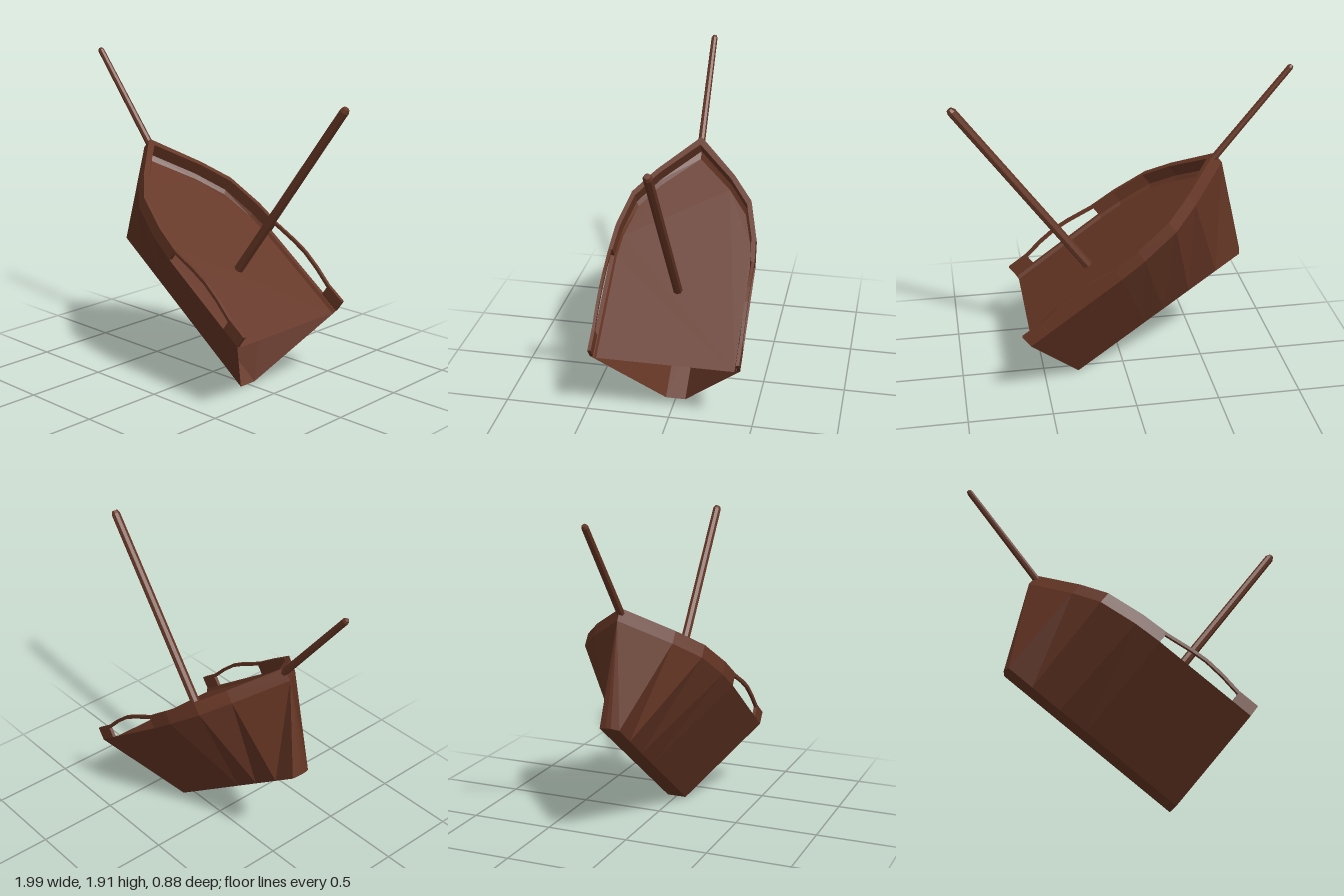
import * as THREE from 'three';

const KEEL = 0, EDGE = 0.544, DECK = 0.525, RAIL = 0.622;

// [distance along ship, half width] from the broken end to the bow
const outer = [[0, 0.44], [-0.66, 0.44], [-0.83, 0.426], [-1.066, 0.368], [-1.235, 0.243], [-1.493, 0]];
const inner = [[0, 0.415], [-0.66, 0.415], [-0.82, 0.4], [-1.04, 0.345], [-1.21, 0.222], [-1.435, 0]];
const deckLine = [[0, 0.405], [-0.66, 0.405], [-0.81, 0.39], [-1.02, 0.333], [-1.185, 0.212], [-1.39, 0]];
const keelLine = [[0, 0.06], [-0.52, 0.06], [-0.66, 0.06], [-0.855, 0.06], [-1.06, 0.06], [-1.235, 0.06], [-1.252, 0.015]];
const hullTop = [outer[0], outer[1], outer[2], outer[3], outer[4], outer[5], outer[5]];
const hullLow = [keelLine[0], keelLine[1], keelLine[2], keelLine[3], keelLine[4], keelLine[5], keelLine[6]];

// one side of the ship followed by the mirrored other side
function bothSides(line, y) {
  const side = line.map(([x, z]) => [x, y, z]);
  return side.concat(side.slice().reverse().map(([x, yy, z]) => [x, yy, -z]));
}

// ribbons of flat quads between successive polylines
function loft(...rows) {
  const p = [];
  for (let r = 0; r + 1 < rows.length; r++) {
    const a = rows[r], b = rows[r + 1];
    for (let i = 0; i + 1 < a.length; i++) {
      p.push(...a[i], ...a[i + 1], ...b[i + 1], ...a[i], ...b[i + 1], ...b[i]);
    }
  }
  const g = new THREE.BufferGeometry();
  g.setAttribute('position', new THREE.Float32BufferAttribute(p, 3));
  g.computeVertexNormals();
  return g;
}

export function createModel() {
  const wood = new THREE.MeshStandardMaterial({ color: 0x643524, side: THREE.DoubleSide, flatShading: true });
  wood.name = 'brown wood';
  const model = new THREE.Group();
  model.name = 'brokenShip';
  const ship = new THREE.Group();
  ship.name = 'tiltedShip';
  ship.rotation.z = -0.632;
  ship.position.set(0.29, 0.003, 0);
  model.add(ship);

  const add = (name, geometry, x = 0, y = 0, z = 0) => {
    const m = new THREE.Mesh(geometry, wood);
    m.name = name;
    m.position.set(x, y, z);
    ship.add(m);
    return m;
  };

  // hollow hull, open at the broken end, with a narrow flat bottom
  add('hull', loft(bothSides(hullTop, EDGE), bothSides(hullLow, KEEL)));
  add('keel', loft(
    keelLine.map(([x, z]) => [x, KEEL, z]),
    keelLine.map(([x, z]) => [x, KEEL, -z])));

  // deck and the low lip around it
  const deckShape = new THREE.Shape(
    bothSides(deckLine.slice(0, 5), 0).map(([x, , z]) => new THREE.Vector2(x, z)).toSpliced(5, 0, new THREE.Vector2(-1.39, 0)));
  const deck = new THREE.ShapeGeometry(deckShape);
  deck.rotateX(-Math.PI / 2);
  add('deck', deck, 0, DECK, 0);
  add('deckLip', loft(bothSides(outer, EDGE), bothSides(inner, EDGE), bothSides(deckLine, DECK)));

  // solid bulwark round the bow
  const o = outer.slice(1), n = inner.slice(1);
  add('bowBulwark', loft(bothSides(o, EDGE), bothSides(o, RAIL), bothSides(n, RAIL), bothSides(n, EDGE)));

  // arched rail over each side opening
  const arch = [[-0.67, 0.62], [-0.487, 0.648], [-0.385, 0.656], [-0.262, 0.646], [-0.125, 0.622]];
  const railShape = new THREE.Shape([
    ...arch.map(([x, y]) => new THREE.Vector2(x, y)),
    ...arch.slice().reverse().map(([x, y]) => new THREE.Vector2(x, y - 0.02))]);
  const railGeometry = new THREE.ExtrudeGeometry(railShape, { depth: 0.018, bevelEnabled: false });
  for (const s of [1, -1]) {
    const side = s > 0 ? 'left' : 'right';
    add(side + 'Rail', railGeometry, 0, 0, s > 0 ? 0.422 : -0.44);
    add(side + 'EndPost', new THREE.BoxGeometry(0.133, 0.08, 0.02), -0.0665, 0.584, s * 0.43);
    // closing face of the bulwark beside the opening
    add(side + 'BulwarkEnd', loft(
      [[-0.66, EDGE, s * 0.44], [-0.66, EDGE, s * 0.415]],
      [[-0.66, RAIL, s * 0.44], [-0.66, RAIL, s * 0.415]]));
  }

  // mast with a bevelled tip
  const mast = new THREE.LatheGeometry([
    [0, 0], [0.029, 0], [0.027, 1.28], [0.018, 1.3], [0, 1.3]].map(([x, y]) => new THREE.Vector2(x, y)), 8);
  add('mast', mast, -0.48, DECK, 0);

  // bowsprit leaning forward from the stem
  const spritProfile = [[0, 0], [0.022, 0], [0.019, 0.69], [0.012, 0.705], [0, 0.705]];
  const sprit = new THREE.Mesh(
    new THREE.LatheGeometry(spritProfile.map(([x, y]) => new THREE.Vector2(x, y)), 8), wood);
  sprit.name = 'bowsprit';
  sprit.position.set(-0.544, 1.355, 0);
  sprit.rotation.z = Math.atan2(0.44, 0.545);
  model.add(sprit);

  return model;
}
